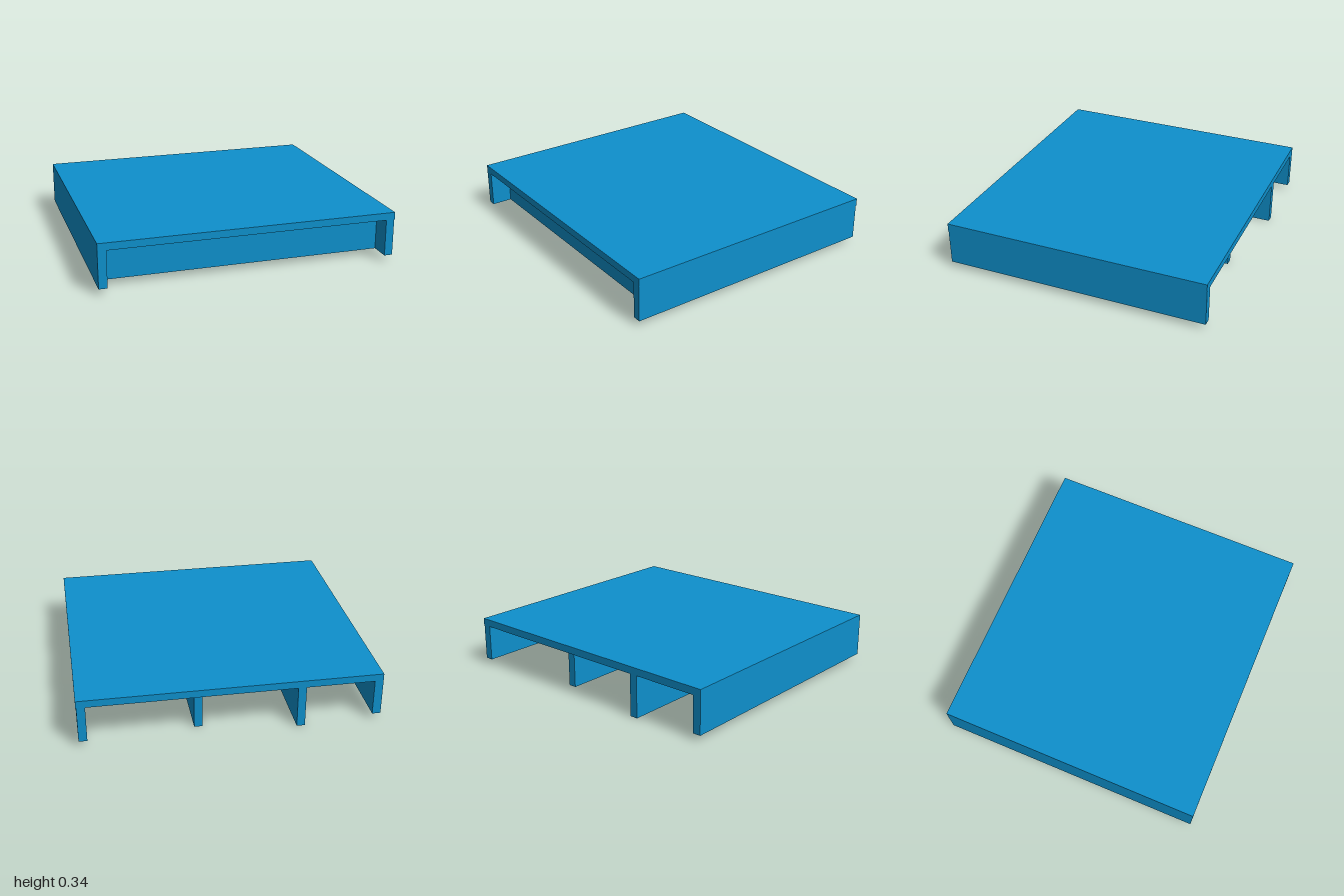
import * as THREE from 'three';

export function createModel() {
  const model = new THREE.Group();
  model.name = 'flatRoofedShelter';
  const blue = new THREE.MeshStandardMaterial({ color: 0x0e90cc });
  blue.name = 'blue';

  const roofBase = 0.29;

  // Box given by its limits on each axis
  function slab(name, [x0, x1], [y0, y1], [z0, z1]) {
    const mesh = new THREE.Mesh(new THREE.BoxGeometry(x1 - x0, y1 - y0, z1 - z0), blue);
    mesh.name = name;
    mesh.position.set((x0 + x1) / 2, (y0 + y1) / 2, (z0 + z1) / 2);
    model.add(mesh);
  }
  // Wall hanging from the underside of the roof
  const wall = (name, x, bottom, z) => slab(name, x, [bottom, roofBase], z);

  slab('roof', [-1, 1], [roofBase, 0.34], [-0.912, 0.912]);

  // Outer walls, with the front one set back under the roof
  wall('rightSideWall', [-1, -0.943], 0.04, [-0.912, 0.912]);
  wall('leftSideWall', [0.94, 0.996], 0.04, [-0.912, 0.912]);
  wall('frontWall', [-0.943, 0.94], 0.04, [0.715, 0.77]);

  // Inner partitions
  wall('longPartition', [-0.485, -0.43], 0, [-0.912, 0.31]);
  wall('shortPartition', [0.182, 0.237], 0, [-0.81, -0.32]);
  wall('crossPartition', [-0.43, 0.79], 0.03, [-0.328, -0.272]);

  return model;
}
